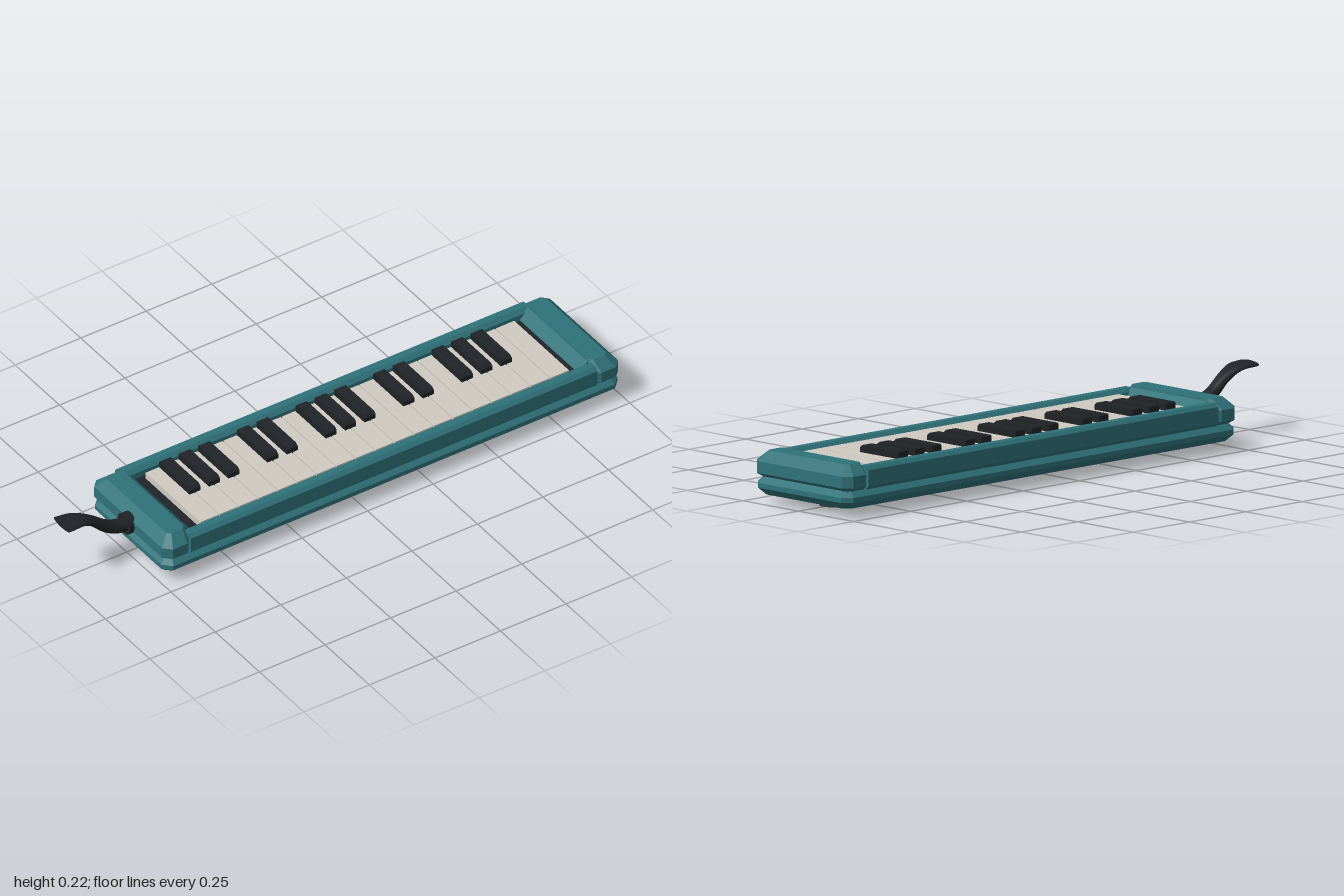
import * as THREE from 'three';
import { toCreasedNormals } from 'three/addons/utils/BufferGeometryUtils.js';

const mat = (color) => new THREE.MeshStandardMaterial({ color });

// Closed skin through rings of points, each counterclockwise about the path
function loft(rings, crease) {
  const n = rings[0].length, pos = [], idx = [];
  rings.forEach((r) => r.forEach((p) => pos.push(p.x, p.y, p.z)));
  for (let k = 0; k < rings.length - 1; k++) {
    for (let i = 0; i < n; i++) {
      const a = k * n + i, b = k * n + (i + 1) % n;
      idx.push(a, b, b + n, a, b + n, a + n);
    }
  }
  const top = (rings.length - 1) * n;
  for (let i = 1; i < n - 1; i++) idx.push(0, i + 1, i, top, top + i, top + i + 1);
  const g = new THREE.BufferGeometry();
  g.setAttribute('position', new THREE.Float32BufferAttribute(pos, 3));
  g.setIndex(idx);
  return toCreasedNormals(g, crease);
}

// Horizontal rectangle with cut corners
function cutRect(y, x0, x1, hz, c) {
  return [[x1, hz - c], [x1, c - hz], [x1 - c, -hz], [x0 + c, -hz],
    [x0, c - hz], [x0, hz - c], [x0 + c, hz], [x1 - c, hz]]
    .map(([x, z]) => new THREE.Vector3(x, y, z));
}

function polygon(points) {
  return new THREE.Shape(points.map(([x, y]) => new THREE.Vector2(x, y)));
}

export function createModel() {
  const root = new THREE.Group();
  const teal = mat(0x2f7279), black = mat(0x202327), ivory = mat(0xcfcbc2);
  const rubber = mat(0x383838), metal = mat(0x888888);

  const add = (name, geometry, material, x = 0, y = 0, z = 0) => {
    const m = new THREE.Mesh(geometry, material);
    m.name = name;
    m.position.set(x, y, z);
    root.add(m);
    return m;
  };
  const box = (name, material, x0, x1, y0, y1, z0, z1) =>
    add(name, new THREE.BoxGeometry(x1 - x0, y1 - y0, z1 - z0), material,
      (x0 + x1) / 2, (y0 + y1) / 2, (z0 + z1) / 2);

  // Lower shell and the seam core above it
  add('lowerShell', loft([
    cutRect(0.027, -0.722, 0.972, 0.19, 0.018),
    cutRect(0.05, -0.745, 0.995, 0.215, 0.028),
    cutRect(0.066, -0.745, 0.995, 0.215, 0.028),
    cutRect(0.086, -0.725, 0.975, 0.193, 0.018),
  ], 0.2), teal);
  box('seamCore', teal, -0.72, 0.97, 0.08, 0.105, -0.19, 0.19);

  // End caps, with a slope leading down to the keyboard
  for (const s of [-1, 1]) {
    const ring = (y, outer, inner, hz, c) => {
      const a = 0.125 + s * (0.87 - outer), b = 0.125 + s * (0.765 + inner);
      return cutRect(y, Math.min(a, b), Math.max(a, b), hz, c);
    };
    add(s < 0 ? 'rightEndCap' : 'leftEndCap', loft([
      ring(0.084, 0.02, 0, 0.197, 0.014),
      ring(0.097, 0, 0, 0.217, 0.025),
      ring(0.135, 0, 0, 0.217, 0.025),
      ring(0.168, 0.032, 0.006, 0.18, 0.012),
    ], 0.2), teal);
    const slope = new THREE.ExtrudeGeometry(polygon([
      [0.125 + s * 0.78, 0.09], [0.125 + s * 0.735, 0.09],
      [0.125 + s * 0.735, 0.128], [0.125 + s * 0.768, 0.16], [0.125 + s * 0.78, 0.16],
    ]), { depth: 0.34, bevelEnabled: false });
    add('innerSlope', slope, teal, 0, 0, -0.17);
  }

  // Long side rails with bevelled edges
  for (const s of [-1, 1]) {
    const rail = new THREE.ExtrudeGeometry(polygon([
      [s * 0.162, 0.09], [s * 0.19, 0.084], [s * 0.204, 0.084], [s * 0.215, 0.096],
      [s * 0.215, 0.147], [s * 0.203, 0.159], [s * 0.178, 0.159], [s * 0.164, 0.146],
    ]), { depth: 1.55, bevelEnabled: false });
    rail.rotateY(Math.PI / 2);
    // rotation sends the profile x to -z, and both rails mirror each other
    add(s < 0 ? 'frontRail' : 'backRail', rail, teal, -0.65, 0, 0);
  }

  // Dark key bed
  box('keyBed', black, -0.615, 0.865, 0.095, 0.125, -0.168, 0.168);

  // White keys
  const count = 19, x0 = -0.58, pitch = 1.41 / count;
  for (let i = 0; i < count; i++) {
    const x = x0 + i * pitch;
    box('whiteKey', ivory, x + 0.002, x + pitch - 0.002, 0.12, 0.148, -0.148, 0.161);
  }

  // Black keys with a sloping front
  const sharp = new THREE.ExtrudeGeometry(polygon([
    [-0.024, 0.14], [0.148, 0.14], [0.148, 0.169], [0.145, 0.172], [-0.014, 0.172], [-0.024, 0.164],
  ]), { depth: 0.042, bevelEnabled: false });
  sharp.rotateY(Math.PI / 2);
  for (const k of [1, 2, 3, 5, 6, 8, 9, 10, 12, 13, 15, 16, 17]) {
    add('blackKey', sharp, black, x0 + k * pitch - 0.021, 0, 0);
  }

  // Feet and small screws underneath
  for (const x of [-0.6, 0.85]) {
    add('foot', new THREE.CylinderGeometry(0.041, 0.041, 0.032, 24), rubber, x, 0.016, 0);
    add('screw', new THREE.CylinderGeometry(0.009, 0.009, 0.01, 12), metal, x, 0.027, -0.122);
  }

  // Mouthpiece collar
  const collar = new THREE.CylinderGeometry(0.036, 0.036, 0.026, 24);
  collar.rotateZ(Math.PI / 2);
  add('mouthpieceCollar', collar, black, -0.748, 0.116, 0);

  // Curved mouthpiece flaring to a flat tip
  const path = new THREE.CatmullRomCurve3([
    [-0.74, 0.116], [-0.79, 0.12], [-0.835, 0.142], [-0.885, 0.183], [-0.935, 0.209], [-0.998, 0.215],
  ].map(([x, y]) => new THREE.Vector3(x, y, 0)));
  const rings = [];
  for (let i = 0; i <= 24; i++) {
    const t = i / 24, c = path.getPoint(t), d = path.getTangent(t);
    const flare = THREE.MathUtils.smoothstep(t, 0.5, 1);
    const rz = 0.025 + 0.02 * flare, ry = 0.023 - 0.013 * THREE.MathUtils.smoothstep(t, 0.1, 1);
    const u = new THREE.Vector3(0, 0, 1), v = d.clone().cross(u);
    rings.push(Array.from({ length: 20 }, (_, j) => {
      const a = j / 20 * Math.PI * 2;
      return c.clone().addScaledVector(u, rz * Math.cos(a)).addScaledVector(v, ry * Math.sin(a));
    }));
  }
  add('mouthpiece', loft(rings, 0.7), black);

  return root;
}
